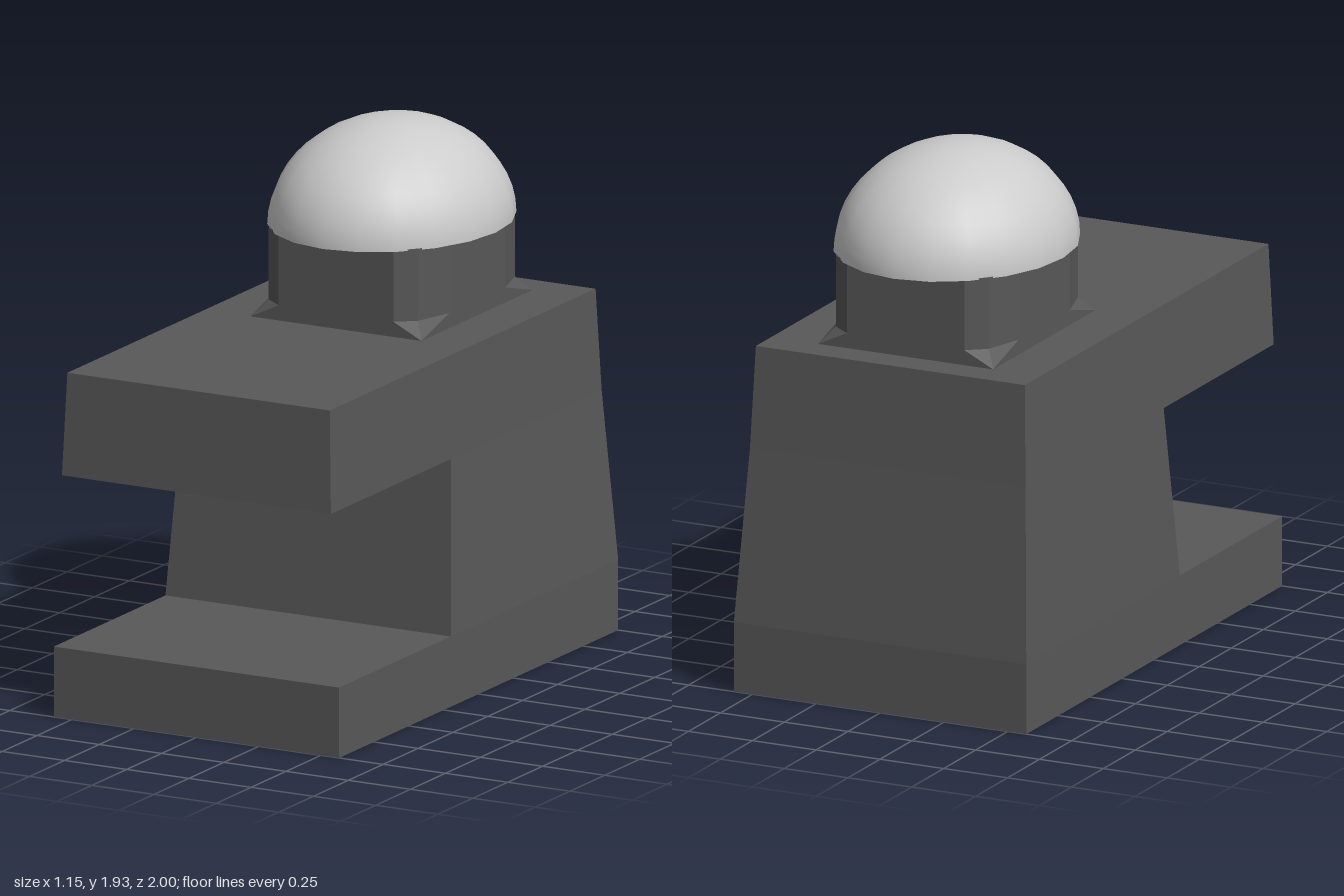
import * as THREE from 'three';

const dark = new THREE.MeshStandardMaterial({ color: 0x585858, flatShading: true });
const light = new THREE.MeshStandardMaterial({ color: 0xcccccc });

// Skins a stack of rings (counter-clockwise from above) and caps both ends.
function loft(name, rings) {
  const pos = [];
  const tri = (...pts) => pts.forEach((p) => pos.push(...p));
  const n = rings[0].length;
  for (let k = 0; k < rings.length - 1; k++) {
    const a = rings[k], b = rings[k + 1];
    for (let i = 0; i < n; i++) {
      const j = (i + 1) % n;
      tri(a[i], a[j], b[j]);
      tri(a[i], b[j], b[i]);
    }
  }
  const lo = rings[0], hi = rings[rings.length - 1];
  for (let i = 1; i < n - 1; i++) {
    tri(hi[0], hi[i], hi[i + 1]);
    tri(lo[0], lo[i + 1], lo[i]);
  }
  const geo = new THREE.BufferGeometry();
  geo.setAttribute('position', new THREE.Float32BufferAttribute(pos, 3));
  geo.computeVertexNormals();
  const mesh = new THREE.Mesh(geo, dark);
  mesh.name = name;
  return mesh;
}

// Rectangle at height y: half width w, from back to front in z.
const rect = (y, w, back, front) => [[-w, y, front], [w, y, front], [w, y, back], [-w, y, back]];

// Neck ring: four corners of three points each.
function neckRing(y, corner) {
  return [[1, 1], [1, -1], [-1, -1], [-1, 1]].flatMap(([sx, sz]) => {
    const pts = corner.map(([x, z]) => [x * sx, y, z * sz - 0.4]);
    return sx * sz > 0 ? pts : pts.reverse();
  });
}

export function createModel() {
  const model = new THREE.Group();
  model.name = 'model';

  // C-shaped body: base slab, leaning column, overhanging arm
  const body = new THREE.Group();
  body.name = 'body';
  body.add(
    loft('baseSlab', [rect(0, 0.573, -1, 1), rect(0.255, 0.573, -1, 1)]),
    loft('column', [rect(0.255, 0.573, -1, 0.2), rect(0.88, 0.54, -0.94, 0.14)]),
    loft('upperArm', [rect(0.88, 0.54, -0.94, 1), rect(1.25, 0.527, -0.92, 0.985)])
  );
  model.add(body);

  // Neck: square foot flaring out of bevelled corners
  const foot = [[0.343, 0.4], [0.343, 0.4], [0.343, 0.4]];
  const bevel = [[0.23, 0.4], [0.3, 0.347], [0.343, 0.2]];
  model.add(loft('neck', [neckRing(1.25, foot), neckRing(1.305, bevel), neckRing(1.565, bevel)]));

  // Oval dome with a closed underside
  const dome = new THREE.Group();
  dome.name = 'dome';
  const shell = new THREE.Mesh(new THREE.SphereGeometry(1, 20, 12, 0, Math.PI * 2, 0, Math.PI / 2), light);
  shell.name = 'domeShell';
  const underside = new THREE.Mesh(new THREE.CircleGeometry(1, 20), light);
  underside.name = 'domeUnderside';
  underside.rotation.x = Math.PI / 2;
  dome.add(shell, underside);
  dome.scale.set(0.418, 0.37, 0.493);
  dome.position.set(0, 1.56, -0.4);
  model.add(dome);

  return model;
}
